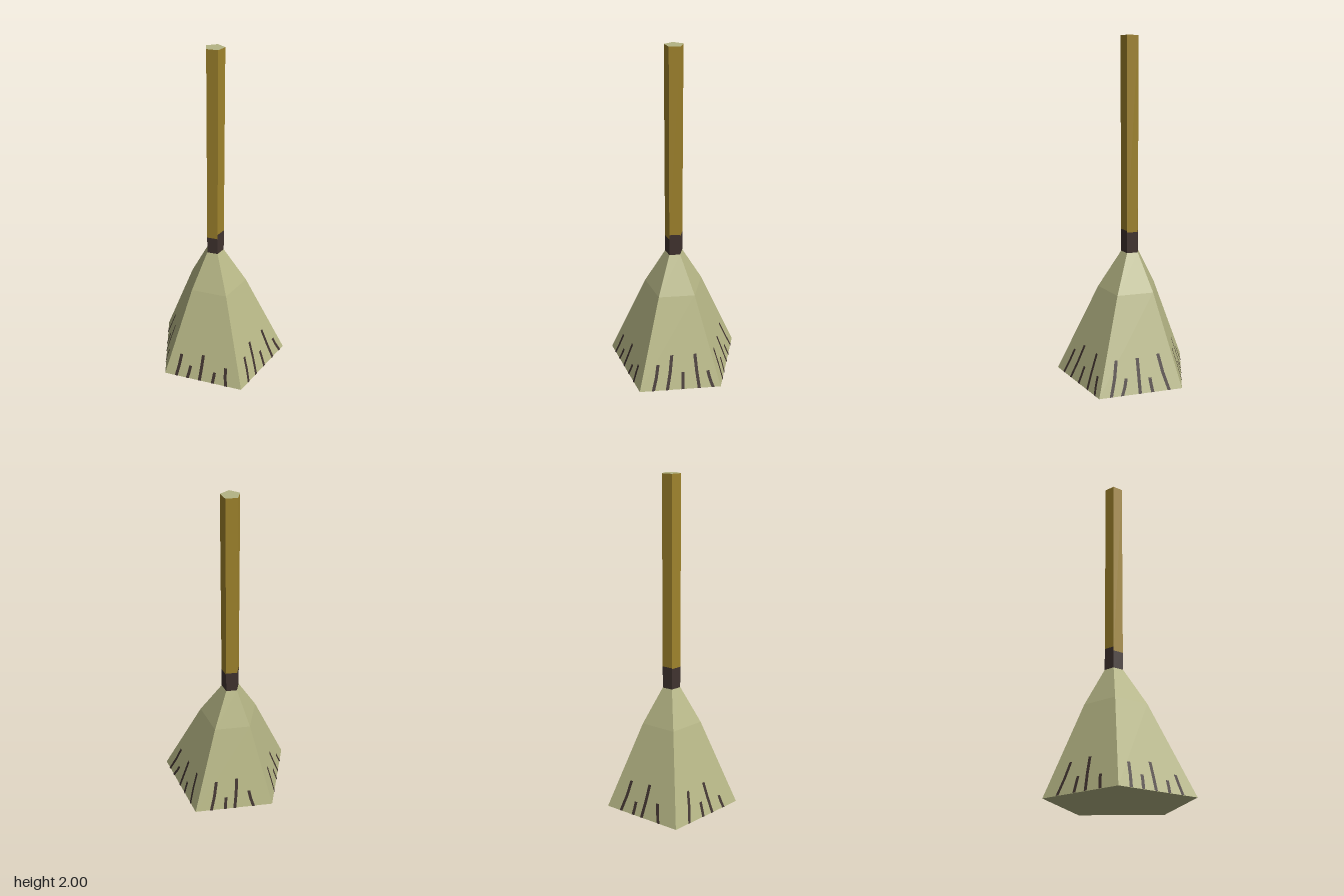
import * as THREE from 'three';

const flat = (name, color) => Object.assign(new THREE.MeshStandardMaterial({ color, flatShading: true }), { name });

const SIDES = 5;
const STEP = (Math.PI * 2) / SIDES;

// cross-sections: height, radius, centre z
const BASE = { y: 0, r: 0.42, z: 0.04 };
const SHOULDER = { y: 0.53, r: 0.184, z: 0.0175 };
const NECK = { y: 0.75, r: 0.055, z: 0.005 };
const TIP = { y: 2, r: 0.055, z: 0.005 };

// corner i of a pentagonal section; side k runs from corner k to corner k + 1
function corner(s, i, y = s.y) {
  const a = (i - 0.5) * STEP;
  return [Math.sin(a) * s.r, y, s.z + Math.cos(a) * s.r];
}

const quad = (a, b, c, d) => [a, b, c, a, c, d];

function side(lo, hi, k, y0 = lo.y, y1 = hi.y) {
  return quad(corner(lo, k, y0), corner(lo, k + 1, y0), corner(hi, k + 1, y1), corner(hi, k, y1));
}

function cap(s, up) {
  const out = [];
  for (let i = 1; i < SIDES - 1; i++) {
    const [a, b, c] = [corner(s, 0), corner(s, i), corner(s, i + 1)];
    out.push(...(up ? [a, b, c] : [a, c, b]));
  }
  return out;
}

function mesh(name, points, material) {
  const g = new THREE.BufferGeometry();
  g.setAttribute('position', new THREE.Float32BufferAttribute(points.flat(), 3));
  g.computeVertexNormals();
  const m = new THREE.Mesh(g, material);
  m.name = name;
  return m;
}

// bristle marks per side: offset at the hem, offset at the top, height
const MARKS = [
  [[-0.165, -0.13, 0.15], [-0.08, -0.045, 0.2], [0.015, 0.02, 0.1], [0.115, 0.095, 0.2], [0.2, 0.17, 0.1]],
  [[-0.177, -0.13, 0.19], [-0.112, -0.081, 0.09], [-0.006, -0.005, 0.19], [0.069, 0.059, 0.08], [0.168, 0.12, 0.2]],
  [[-0.147, -0.105, 0.19], [-0.057, -0.05, 0.08], [0.004, 0.025, 0.2], [0.125, 0.098, 0.11]],
  [[-0.143, -0.106, 0.18], [-0.031, -0.03, 0.09], [0.043, 0.02, 0.19], [0.136, 0.118, 0.08]],
  [[0.148, 0.135, 0.11], [0.063, 0.07, 0.07], [-0.021, -0.012, 0.16], [-0.1, -0.086, 0.08], [-0.173, -0.151, 0.14]],
];

// thin, slightly bent strip lying on side k of the brush
function mark(k, [s0, s1, h]) {
  const a = k * STEP;
  const inner = Math.cos(STEP / 2);
  const d0 = BASE.r * inner;
  const d1 = SHOULDER.r * inner + Math.cos(a) * (SHOULDER.z - BASE.z);
  const at = (s, y) => {
    const d = d0 + (d1 - d0) * (y / SHOULDER.y) + 0.003;
    return [Math.sin(a) * d + Math.cos(a) * s, y, BASE.z + Math.cos(a) * d - Math.sin(a) * s];
  };
  const w = 0.0095;
  const mid = s0 + (s1 - s0) * 0.6;
  const rows = [[s0, 0.001], [mid, h * 0.5], [s1, h]];
  const out = [];
  for (let i = 0; i < 2; i++) {
    const [[p, y0], [q, y1]] = [rows[i], rows[i + 1]];
    out.push(...quad(at(p - w, y0), at(p + w, y0), at(q + w, y1), at(q - w, y1)));
  }
  return out;
}

export function createModel() {
  const straw = flat('straw', 0xb4b484);
  const wood = flat('wood', 0x9f832c);
  const dark = flat('dark binding', 0x40332f);

  const model = new THREE.Group();
  model.name = 'broom';

  // brush head and its open marks, handle and uneven binding
  const brush = [...cap(BASE, false)];
  const marks = [];
  const handle = [];
  const binding = [];
  const bindingTop = [0.885, 0.875, 0.885, 0.88, 0.855];
  for (let k = 0; k < SIDES; k++) {
    brush.push(...side(BASE, SHOULDER, k), ...side(SHOULDER, NECK, k));
    handle.push(...side(NECK, TIP, k, bindingTop[k], TIP.y));
    binding.push(...side(NECK, TIP, k, NECK.y, bindingTop[k]));
    for (const m of MARKS[k]) marks.push(...mark(k, m));
  }

  model.add(
    mesh('brushHead', brush, straw),
    mesh('bristleMarks', marks, dark),
    mesh('handle', handle, wood),
    mesh('binding', binding, dark),
    mesh('handleEnd', cap(TIP, true), straw),
  );
  return model;
}
